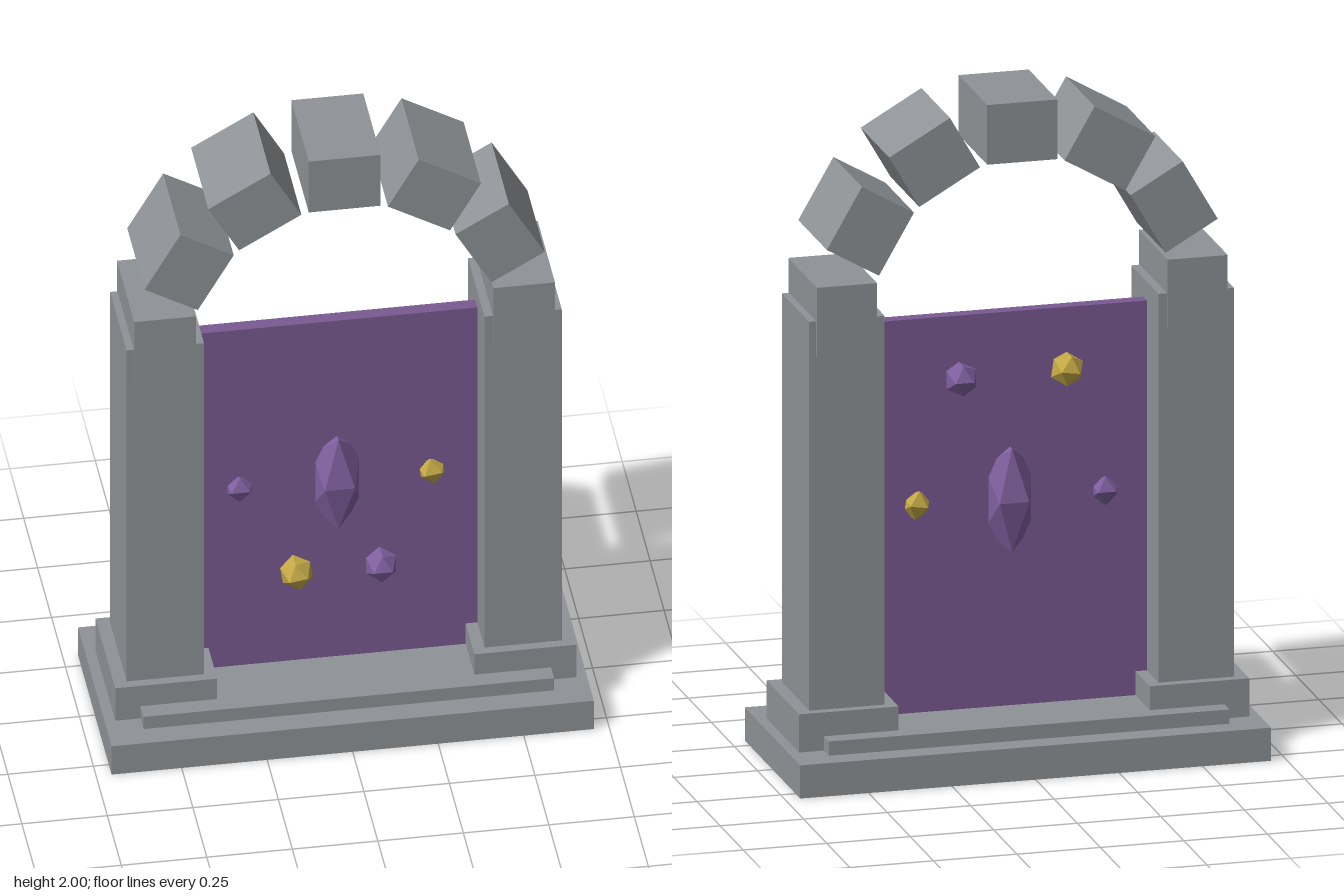
import * as THREE from 'three';

const material = (name, color) => {
  const m = new THREE.MeshStandardMaterial({ color });
  m.name = name;
  return m;
};

export function createModel() {
  const stone = material('grey stone', 0x8f9397);
  const veil = material('portal purple', 0x7a5a92);
  const violet = material('violet crystal', 0x80609f);
  const gold = material('gold crystal', 0xc4a945);
  const model = new THREE.Group();
  model.name = 'portalArch';

  const add = (name, geometry, mat, x, y, z) => {
    const mesh = new THREE.Mesh(geometry, mat);
    mesh.name = name;
    mesh.position.set(x, y, z);
    model.add(mesh);
    return mesh;
  };
  // Box given by its centre x, its bottom and top, and its width and depth
  const block = (name, mat, x, y0, y1, w, d) =>
    add(name, new THREE.BoxGeometry(w, y1 - y0, d), mat, x, (y0 + y1) / 2, 0);

  // Stepped base
  block('base', stone, 0, 0, 0.1, 1.41, 0.6);
  block('step', stone, 0, 0.1, 0.143, 1.2, 0.46);

  // Pillars on plinths
  for (const [side, s] of [['left', 1], ['right', -1]]) {
    block(side + 'Plinth', stone, s * 0.525, 0.1, 0.215, 0.298, 0.352);
    block(side + 'Pillar', stone, s * 0.523, 0.2, 1.387, 0.226, 0.295);
  }

  // Arch of seven separate stones around a half circle
  const radius = 0.525, springing = 1.385;
  for (let i = 0; i < 7; i++) {
    const a = (i * Math.PI) / 6;
    const archStone = add('archStone' + (i + 1), new THREE.BoxGeometry(0.18, 0.21, 0.31), stone,
      radius * Math.cos(a), springing + radius * Math.sin(a), 0);
    archStone.rotation.z = a;
  }

  // Portal panel between the pillars
  block('portalPanel', veil, 0, 0.14, 1.33, 0.83, 0.04);

  // Faceted crystals with a point at the top
  const crystal = (name, mat, r, x, y, z, turn = 0) =>
    add(name, new THREE.IcosahedronGeometry(r).rotateZ(Math.PI / 2 + turn), mat, x, y, z);
  crystal('centreCrystal', violet, 0.084, 0, 0.767, 0).scale.y = 2.18;

  // Small crystals: two through the panel, two in front and two behind
  crystal('middleVioletShard', violet, 0.05, -0.285, 0.768, 0);
  crystal('middleGoldShard', gold, 0.05, 0.278, 0.768, 0, 0.15);
  crystal('frontGoldShard', gold, 0.052, -0.125, 0.48, 0.058, 0.15);
  crystal('frontVioletShard', violet, 0.052, 0.122, 0.48, 0.058);
  crystal('backVioletShard', violet, 0.052, 0.157, 1.15, -0.06);
  crystal('backGoldShard', gold, 0.052, -0.16, 1.155, -0.06, 0.15);

  return model;
}
